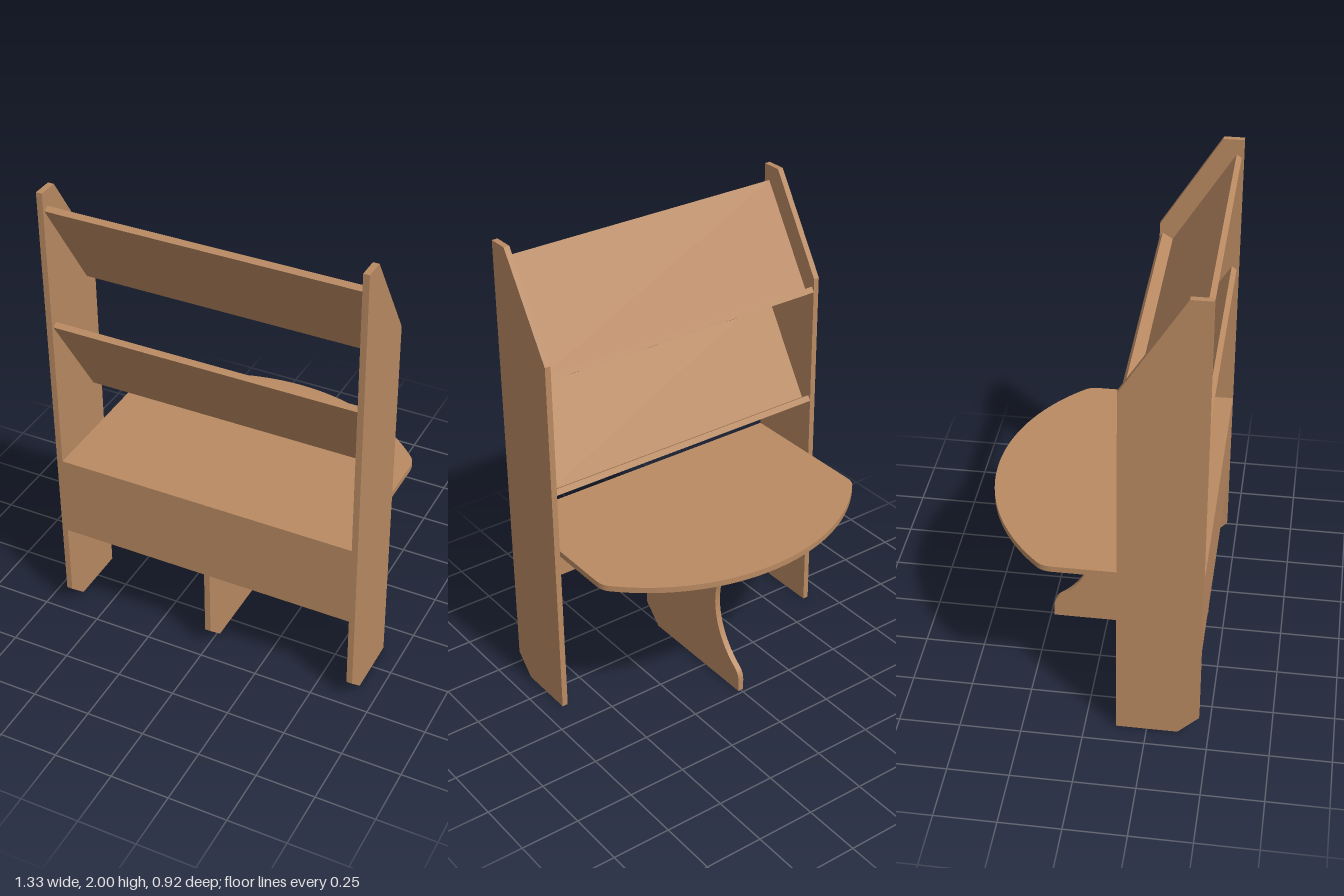
import * as THREE from 'three';
import { toCreasedNormals } from 'three/addons/utils/BufferGeometryUtils.js';

const T = 0.025;        // board thickness
const HALF = 0.64;      // half width between the side panels
const FRONT = 0.46;

export function createModel() {
  const group = new THREE.Group();
  const wood = new THREE.MeshStandardMaterial({ color: 0xb98a62 });
  wood.name = 'wood';

  const add = (name, geometry, parent = group) => {
    const mesh = new THREE.Mesh(geometry, wood);
    mesh.name = name;
    parent.add(mesh);
    return mesh;
  };
  const extrude = (shape, depth) =>
    new THREE.ExtrudeGeometry(shape, { depth, bevelEnabled: false, curveSegments: 32 });
  // Board cut from a (z, y) profile, centred on x = 0
  const sideBoard = (shape, width) =>
    toCreasedNormals(extrude(shape, width).rotateY(-Math.PI / 2).translate(width / 2, 0, 0), 0.5);
  const polygon = (points) => new THREE.Shape(points.map(([a, b]) => new THREE.Vector2(a, b)));

  // Tall side panels with a sloped top and a chamfered toe
  const sideShape = polygon([
    [0.375, 0], [FRONT, 0.085], [FRONT, 2], [0.375, 2], [0.125, 1.6], [0.125, 0],
  ]);
  for (const [name, s] of [['leftSidePanel', 1], ['rightSidePanel', -1]]) {
    add(name, sideBoard(sideShape, T)).position.x = s * (HALF + T / 2);
  }

  // Front apron
  const apron = add('frontApron', new THREE.BoxGeometry(HALF * 2, 0.36, T));
  apron.position.set(0, 0.59, FRONT - T / 2);

  // Desk top with a bowed back edge and rounded corners
  const back = FRONT - T;
  const R = 0.847, cz = R - 0.46;
  const a = Math.atan2(-0.19 - cz, 0.62);
  const desk = new THREE.Shape();
  desk.moveTo(-HALF, back);
  desk.lineTo(-HALF, -0.13);
  desk.quadraticCurveTo(-HALF, -0.1685, -0.62, -0.19);
  desk.absarc(0, cz, R, -Math.PI - a, a, false);
  desk.quadraticCurveTo(HALF, -0.1685, HALF, -0.13);
  desk.lineTo(HALF, back);
  add('deskTop', toCreasedNormals(extrude(desk, T).rotateX(Math.PI / 2), 0.5)).position.y = 0.77;

  // Central leg with a scooped back edge
  const r = 0.3275, lz = -0.07 - r, ly = 0.375;
  const b = Math.atan2(0.265, -0.205 - lz);
  const leg = new THREE.Shape();
  leg.moveTo(back - 0.085, 0);
  leg.lineTo(back, 0.085);
  leg.lineTo(back, 0.745);
  leg.lineTo(-0.235, 0.745);
  leg.lineTo(-0.235, 0.70);
  leg.quadraticCurveTo(-0.235, 0.662, -0.205, 0.64);
  leg.absarc(lz, ly, r, b, -b, true);
  leg.quadraticCurveTo(-0.235, 0.088, -0.235, 0.05);
  leg.lineTo(-0.235, 0);
  add('centreLeg', sideBoard(leg, T));

  // Sloping shelves, each a slab with a lip along its lower edge
  const slope = new THREE.Vector2(0.25, 0.4).normalize();
  const normal = new THREE.Vector2(-slope.y, slope.x);
  const at = (along, out) => [
    0.18 + slope.x * along + normal.x * out,
    1.535 + slope.y * along + normal.y * out,
  ];
  const plank = (a0, a1, o0, o1) =>
    sideBoard(polygon([at(a0, o0), at(a1, o0), at(a1, o1), at(a0, o1)]), HALF * 2);
  for (const [name, drop] of [['upperShelf', 0], ['lowerShelf', 0.51]]) {
    const shelf = new THREE.Group();
    shelf.name = name;
    shelf.position.y = -drop;
    add(name + 'Board', plank(0, 0.472, -T, 0), shelf);
    add(name + 'Lip', plank(-T, 0, -T, 0.05), shelf);
    group.add(shelf);
  }

  return group;
}
